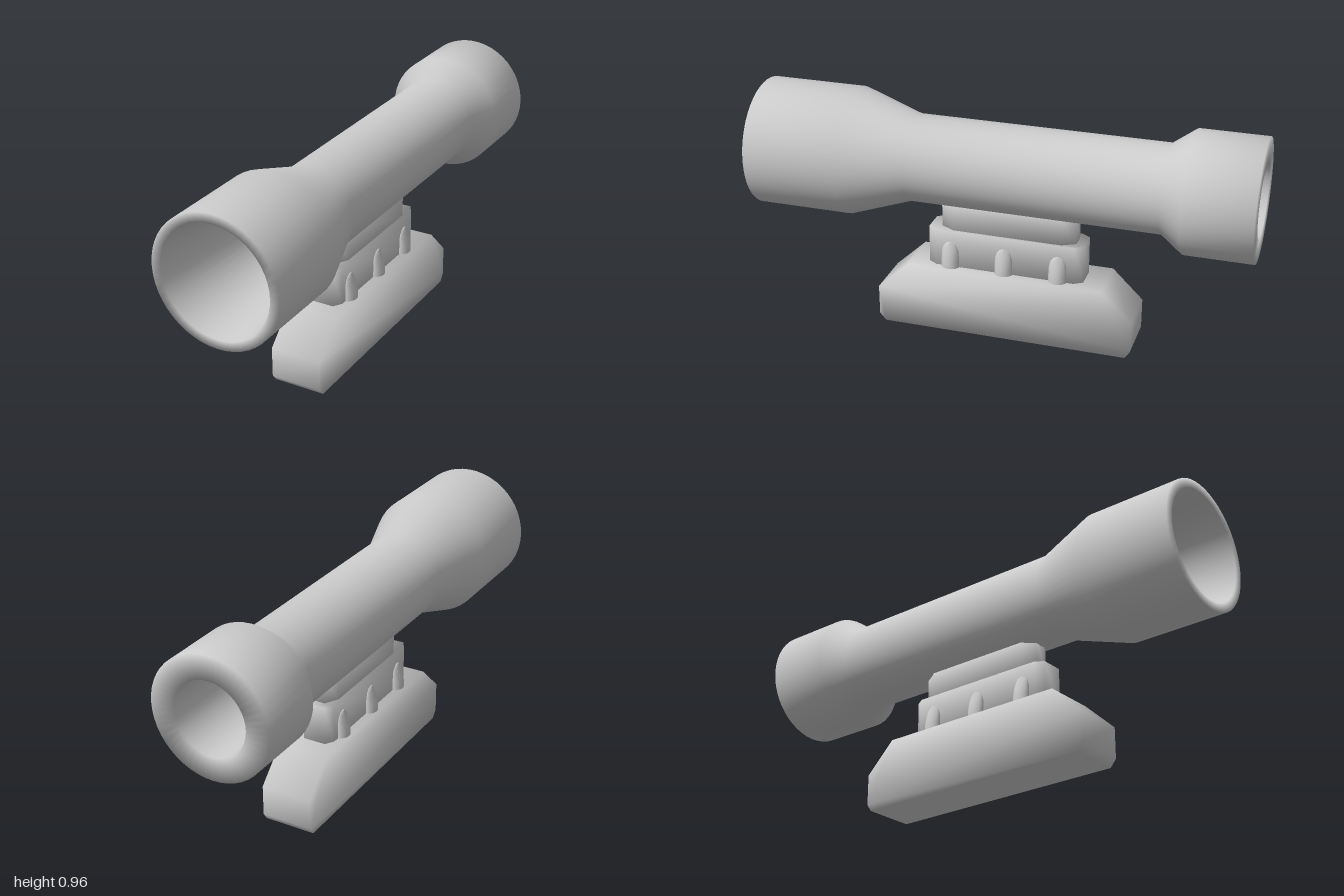
import * as THREE from 'three';

const material = new THREE.MeshStandardMaterial({ color: 0xcccccc });

function addMesh(group, name, geometry) {
  const mesh = new THREE.Mesh(geometry, material);
  mesh.name = name;
  group.add(mesh);
  return mesh;
}

// Gives each corner the even average of the flat faces meeting there
function softenCorners(geo) {
  const p = geo.attributes.position, n = geo.attributes.normal;
  const corners = new Map();
  const point = new THREE.Vector3(), normal = new THREE.Vector3();
  const key = (i) => point.fromBufferAttribute(p, i).toArray().map((v) => Math.round(v * 1e4)).join();
  for (let i = 0; i < p.count; i++) {
    const faces = corners.get(key(i)) ?? [];
    normal.fromBufferAttribute(n, i);
    if (!faces.some((f) => f.dot(normal) > 0.999)) faces.push(normal.clone());
    corners.set(key(i), faces);
  }
  for (let i = 0; i < p.count; i++) {
    normal.set(0, 0, 0);
    for (const f of corners.get(key(i))) normal.add(f);
    normal.normalize();
    n.setXYZ(i, normal.x, normal.y, normal.z);
  }
  return geo;
}

function smoothPrism(points, depth) {
  const shape = new THREE.Shape(points.map(([x, y]) => new THREE.Vector2(x, y)));
  return softenCorners(new THREE.ExtrudeGeometry(shape, { depth, bevelEnabled: false }));
}

// Upright block with its four plan corners cut off
function chamferedBlock(halfWidth, zBack, zFront, y0, y1, cutX, cutZ) {
  const w = halfWidth, n = w - cutX;
  // Shape y becomes -z when the prism is stood upright
  const outline = [
    [-n, -zFront], [n, -zFront], [w, -zFront + cutZ], [w, -zBack - cutZ],
    [n, -zBack], [-n, -zBack], [-w, -zBack - cutZ], [-w, -zFront + cutZ],
  ];
  return smoothPrism(outline, y1 - y0).rotateX(-Math.PI / 2).translate(0, y0, 0);
}

// Bullet-shaped rib running through the block and showing on both sides
function ribGeometry() {
  const profile = [
    [0.039, 0.27], [0.039, 0.305], [0.038, 0.345], [0.032, 0.367], [0.02, 0.381], [0.001, 0.386],
  ].map(([r, y]) => new THREE.Vector2(r, y));
  const geo = new THREE.LatheGeometry(profile, 16);
  const p = geo.attributes.position;
  const inner = 0.058;
  for (let i = 0; i < p.count; i++) {
    const x = p.getX(i), y = p.getY(i), z = p.getZ(i);
    const reach = THREE.MathUtils.mapLinear(Math.max(y, 0.305), 0.305, 0.385, 0.097, 0.074);
    const c = x / Math.hypot(x, z);
    const spread = Math.abs(c) < 1e-4 ? 0 : Math.sign(c) * (inner + (reach - inner) * Math.abs(c));
    p.setX(i, spread);
  }
  geo.computeVertexNormals();
  return geo;
}

export function createModel() {
  const model = new THREE.Group();
  model.name = 'scope';

  // Hollow tube: outer wall forward, then the bore back, as [radius, z]
  const tubeProfile = [
    [0.175, -0.15], [0.175, 0.37], [0.257, 0.615], [0.257, 1],
    [0.22, 1], [0.145, 0.37], [0.145, -1],
    [0.24, -1], [0.24, -0.73], [0.175, -0.64], [0.175, -0.15],
  ].map(([r, z]) => new THREE.Vector2(r, z));
  const tube = addMesh(model, 'tube', new THREE.LatheGeometry(tubeProfile, 48).rotateX(Math.PI / 2));
  tube.position.y = 0.705;

  // Mount under the tube
  const mount = new THREE.Group();
  mount.name = 'mount';
  model.add(mount);
  addMesh(mount, 'neck', chamferedBlock(0.057, -0.3, 0.255, 0.43, 0.545, 0.03, 0.055));
  addMesh(mount, 'block', chamferedBlock(0.068, -0.335, 0.305, 0.27, 0.433, 0.022, 0.035));

  const rib = ribGeometry();
  for (const z of [0.21, -0.013, -0.235]) {
    addMesh(mount, 'rib', rib).position.z = z;
  }

  // Foot with sloping ends, outlined as [z, y]
  const foot = smoothPrism([
    [0.485, 0], [0.51, 0.03], [0.51, 0.155], [0.38, 0.277],
    [-0.42, 0.277], [-0.545, 0.155], [-0.545, 0.03], [-0.525, 0],
  ], 0.21);
  addMesh(mount, 'foot', foot.translate(0, 0, -0.105).rotateY(-Math.PI / 2));

  return model;
}
